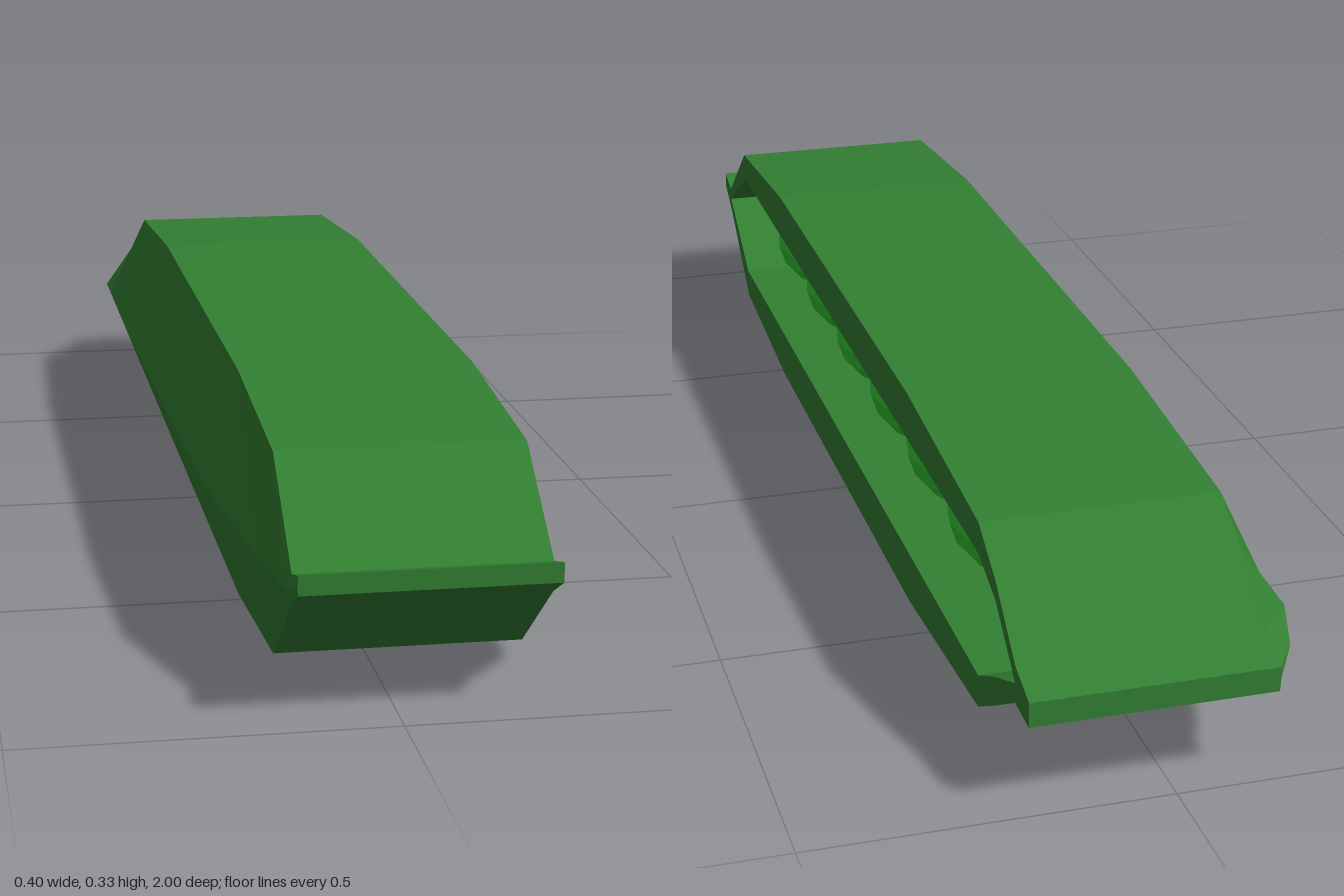
import * as THREE from 'three';

// Pod stations along z: [z, top, bottom, mid, ridge x, inner top, inner bottom]
const STATIONS = [
  [1.0, 0.205, 0.178, 0.19, -0.136, 0.19, 0.19],
  [0.95, 0.19, 0.15, 0.17, -0.142, 0.17, 0.17],
  [0.8, 0.305, 0.03, 0.168, -0.158, 0.26, 0.078],
  [0.48, 0.332, 0, 0.168, -0.185, 0.26, 0.078],
  [-0.4, 0.332, 0, 0.168, -0.2, 0.26, 0.078],
  [-0.77, 0.305, 0.03, 0.168, -0.2, 0.26, 0.078],
  [-0.85, 0.26, 0.077, 0.168, -0.2, 0.232, 0.12],
  [-0.94, 0.185, 0.132, 0.16, -0.172, 0.16, 0.16],
  [-1.0, 0.165, 0.13, 0.148, -0.136, 0.148, 0.148],
];
const RIM = 0.2, BACK = -0.135, INNER = -0.09;

// Cross-section: outer shell with a keeled back, then the inner cavity
function ring([z, top, bottom, mid, ridge, inTop, inBottom]) {
  const floor = Math.min(INNER, ridge + 0.05);
  return [
    [RIM, top], [BACK, top], [ridge, mid], [BACK, bottom], [RIM, bottom],
    [RIM, inBottom], [INNER, inBottom], [floor, mid], [INNER, inTop], [RIM, inTop],
  ].map(([x, y]) => [x, y, z]);
}

function podGeometry() {
  const rings = STATIONS.map(ring);
  const n = rings[0].length, last = rings.length - 1;
  const index = [];
  for (let i = 0; i < last; i++) {
    for (let j = 0; j < n; j++) {
      const a = i * n + j, b = i * n + (j + 1) % n, c = a + n, d = b + n;
      index.push(a, c, b, b, c, d);
    }
  }
  // End caps over the five outer points
  for (let j = 1; j < 4; j++) {
    index.push(0, j, j + 1);
    index.push(last * n, last * n + j + 1, last * n + j);
  }
  const g = new THREE.BufferGeometry();
  g.setAttribute('position', new THREE.Float32BufferAttribute(rings.flat(2), 3));
  g.setIndex(index);
  g.computeVertexNormals();
  return g;
}

// Pea: a subdivided cube rounded most of the way to a sphere
function peaGeometry() {
  const g = new THREE.BoxGeometry(2, 2, 2, 4, 4, 4);
  const p = g.attributes.position, v = new THREE.Vector3(), s = new THREE.Vector3();
  for (let i = 0; i < p.count; i++) {
    v.fromBufferAttribute(p, i);
    s.copy(v).normalize();
    v.lerp(s, 0.85);
    p.setXYZ(i, v.x, v.y, v.z);
  }
  g.scale(0.115, 0.07, 0.115);
  g.computeVertexNormals();
  return g;
}

export function createModel() {
  const model = new THREE.Group();
  model.name = 'peaPod';
  const podMaterial = new THREE.MeshStandardMaterial({ color: 0x338033, flatShading: true });
  const peaMaterial = new THREE.MeshStandardMaterial({ color: 0x33cc33, flatShading: true });

  const pod = new THREE.Mesh(podGeometry(), podMaterial);
  pod.name = 'pod';
  model.add(pod);

  // Row of seven peas in the cavity
  const peas = new THREE.Group();
  peas.name = 'peas';
  const geometry = peaGeometry();
  for (let i = 0; i < 7; i++) {
    const pea = new THREE.Mesh(geometry, peaMaterial);
    pea.name = `pea${i + 1}`;
    pea.position.set(0.05, 0.169, 0.67 - i * 0.234);
    peas.add(pea);
  }
  model.add(peas);
  return model;
}
